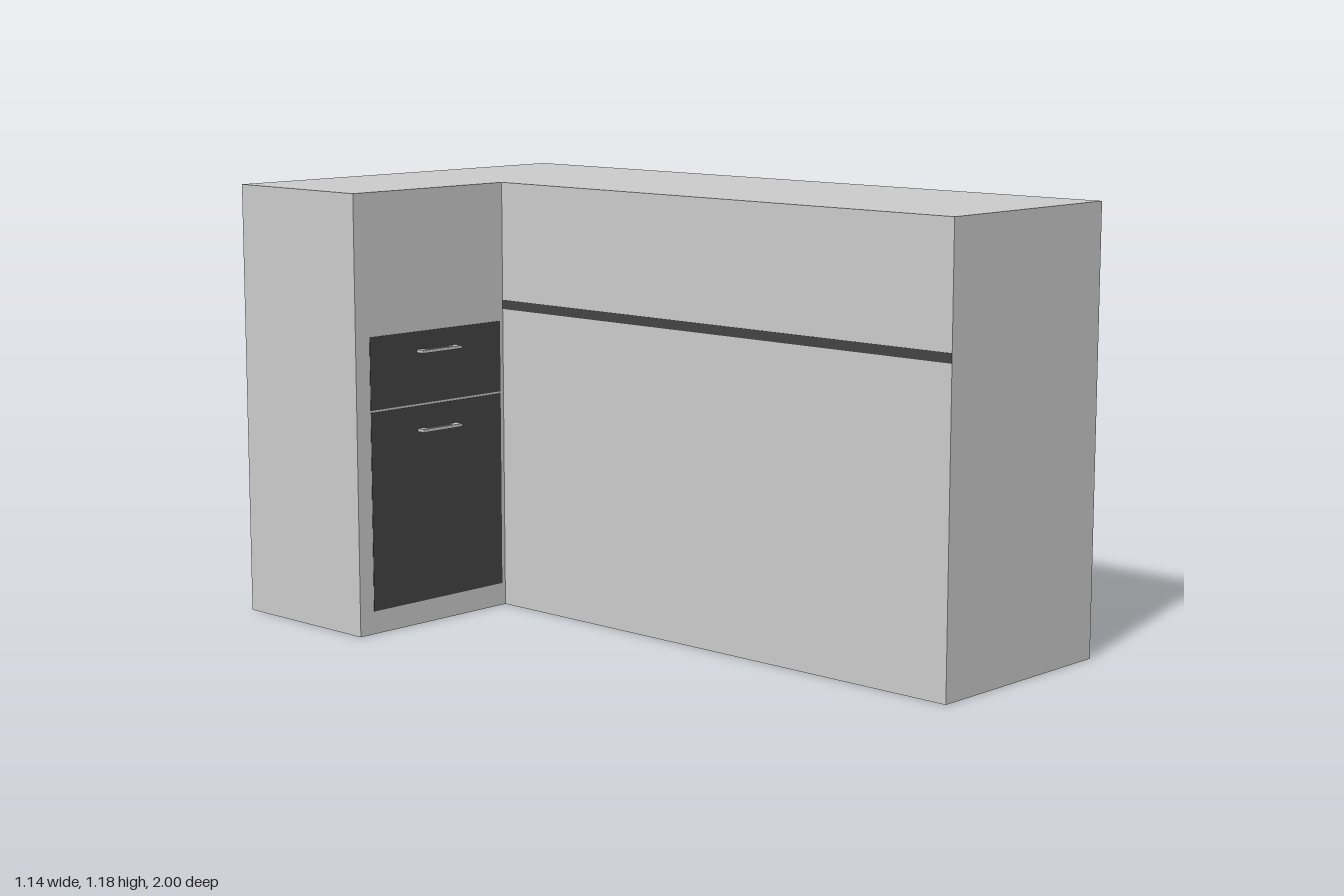
import * as THREE from 'three';

const grey = new THREE.MeshStandardMaterial({ color: 0xcccccc });
const dark = new THREE.MeshStandardMaterial({ color: 0x444444 });

// Box given by its minimum and maximum corners
function box(name, material, [x0, y0, z0], [x1, y1, z1]) {
  const mesh = new THREE.Mesh(new THREE.BoxGeometry(x1 - x0, y1 - y0, z1 - z0), material);
  mesh.position.set((x0 + x1) / 2, (y0 + y1) / 2, (z0 + z1) / 2);
  mesh.name = name;
  return mesh;
}

// Flat bow handle: a bar on two legs, fixed to the plane z = 0
function createHandle(name, width) {
  const h = width / 2, leg = 0.022, depth = 0.026, bar = 0.012;
  const shape = new THREE.Shape([
    [-h, 0], [-h, -depth], [h, -depth], [h, 0],
    [h - leg, 0], [h - leg, bar - depth], [leg - h, bar - depth], [leg - h, 0],
  ].map(([x, y]) => new THREE.Vector2(x, y)));
  const geometry = new THREE.ExtrudeGeometry(shape, { depth: 0.008, bevelEnabled: false });
  geometry.translate(0, 0, -0.004).rotateX(-Math.PI / 2);
  const mesh = new THREE.Mesh(geometry, grey);
  mesh.name = name;
  return mesh;
}

export function createModel() {
  const group = new THREE.Group();
  group.name = 'cornerCounter';
  const W = 0.57, H = 1.18, inner = -0.04, face = -0.54, t = 0.001;

  // L-shaped body, drawn in plan and raised
  const plan = new THREE.Shape([
    [-W, 1], [-W, -face], [inner, -face], [inner, -1], [W, -1], [W, 1],
  ].map(([x, y]) => new THREE.Vector2(x, y)));
  const bodyGeometry = new THREE.ExtrudeGeometry(plan, { depth: H, bevelEnabled: false });
  bodyGeometry.rotateX(-Math.PI / 2);
  const body = new THREE.Mesh(bodyGeometry, grey);
  body.name = 'counterBody';
  group.add(body);

  // Drawer and door fronts with their handles
  const fronts = [['drawer', 0.604, 0.8, 0.747], ['door', 0.062, 0.599, 0.533]];
  for (const [name, y0, y1, handleY] of fronts) {
    group.add(box(name + 'Front', dark, [-0.522, y0, face - t], [-0.052, y1, face + t]));
    const handle = createHandle(name + 'Handle', 0.14);
    handle.position.set(-0.288, handleY, face);
    group.add(handle);
  }

  // Dark panels on the back and on the rear of the outer side
  group.add(box('backPanel', dark, [-0.545, 0.04, -1 - t], [W, 0.823, -1 + t]));
  group.add(box('sidePanel', dark, [W - t, 0.04, -1], [W + t, 0.823, -0.535]));

  // Dark shadow lines under the worktop
  group.add(box('sideLine', dark, [W - t, 0.835, -1], [W + t, 0.86, -0.535]));
  group.add(box('innerLine', dark, [inner - t, 0.832, face], [inner + t, 0.857, 1]));

  return group;
}
